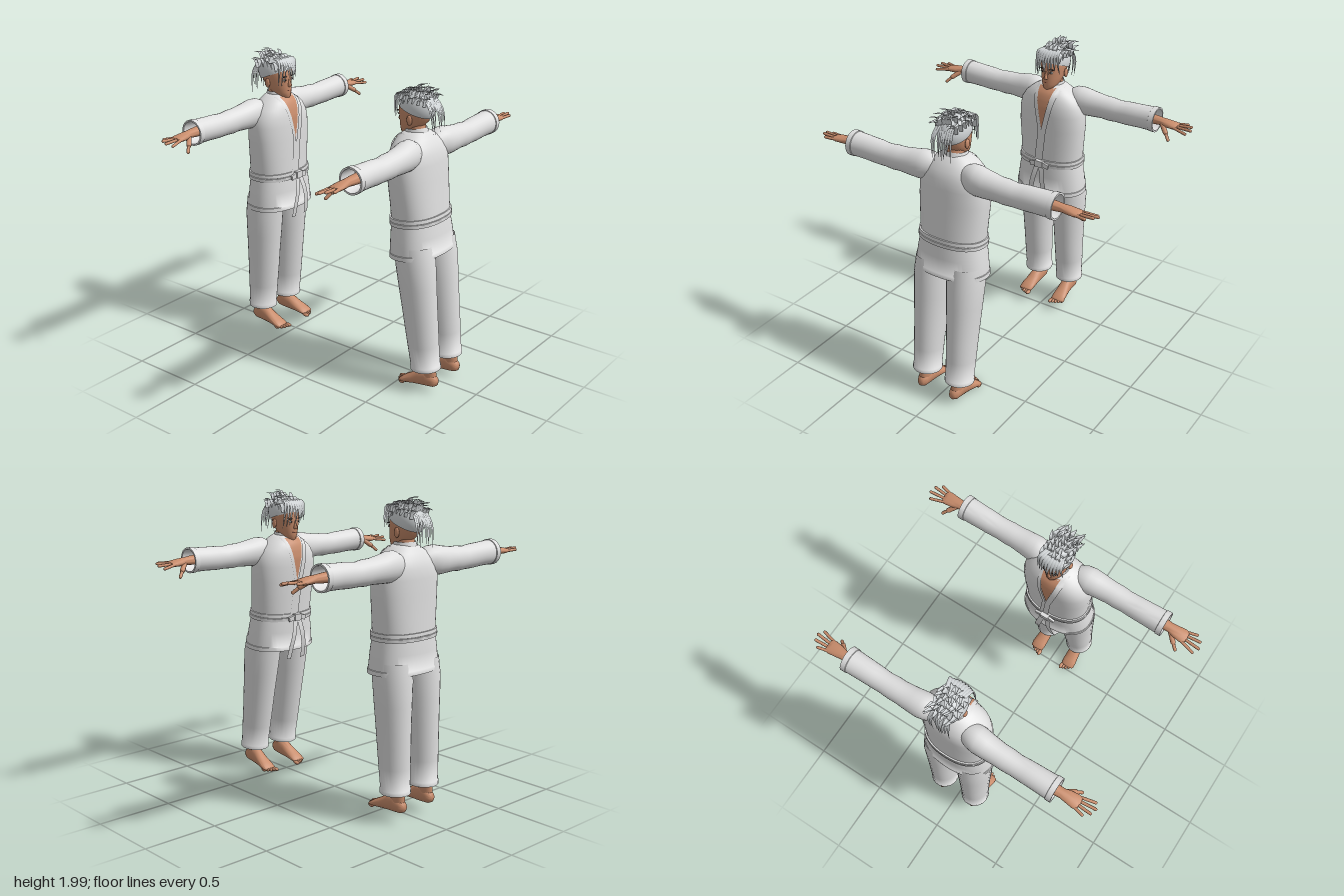
import * as THREE from 'three';
import { toCreasedNormals } from 'three/addons/utils/BufferGeometryUtils.js';

const mat = (name, color, side = THREE.FrontSide) => {
  const m = new THREE.MeshStandardMaterial({ color, side });
  m.name = name;
  return m;
};
const cloth = mat('white cloth', 0xdfdfdf, THREE.DoubleSide);
const hairMat = mat('silver hair', 0xd0d4d6, THREE.DoubleSide);
const skin = mat('skin', 0xc98d6c, THREE.DoubleSide);
const dark = mat('dark brown', 0x2c2420);
const eyeWhite = mat('eye white', 0xeeeeea);
const lip = mat('lips', 0xa8644e);

const V = (x, y, z) => new THREE.Vector3(x, y, z);
const spow = (v, p) => Math.sign(v) * Math.pow(Math.abs(v), 2 / p);

// Rings along an axis; each row is [position, centre a, centre b, radius a, radius b]
function loft(axis, rows, n = 28, p = 2) {
  const pos = [], idx = [];
  rows.forEach(([t, a, b, ra, rb], i) => {
    for (let j = 0; j < n; j++) {
      const q = (j / n) * Math.PI * 2;
      const c = spow(Math.cos(q), p), s = spow(Math.sin(q), p);
      if (axis === 'x') pos.push(t, a + ra * c, b + rb * s);
      if (axis === 'y') pos.push(a + ra * s, t, b + rb * c);
      if (axis === 'z') pos.push(a + ra * c, b + rb * s, t);
      if (i === rows.length - 1) continue;
      const k = i * n + j, l = i * n + ((j + 1) % n);
      idx.push(k, l, k + n, l, l + n, k + n);
    }
  });
  const g = new THREE.BufferGeometry();
  g.setAttribute('position', new THREE.Float32BufferAttribute(pos, 3));
  g.setIndex(idx);
  return toCreasedNormals(g, 1.0);
}

// Open sheet from rows of points
function sheet(rows) {
  const w = rows[0].length, idx = [];
  for (let i = 0; i < rows.length - 1; i++)
    for (let j = 0; j < w - 1; j++) {
      const a = i * w + j;
      idx.push(a, a + w, a + 1, a + 1, a + w, a + w + 1);
    }
  const g = new THREE.BufferGeometry().setFromPoints(rows.flat());
  g.setIndex(idx);
  g.computeVertexNormals();
  return g;
}

// Ribbon along a curve, with a raised ridge
function ribbon(pts, side, width, lift, steps = 7) {
  const curve = new THREE.CatmullRomCurve3(pts), rows = [];
  for (let i = 0; i <= steps; i++) {
    const t = i / steps, c = curve.getPoint(t);
    const s = side.clone().multiplyScalar(width(t) / 2);
    const up = side.clone().cross(curve.getTangent(t)).normalize().multiplyScalar(-lift * width(t));
    rows.push([c.clone().sub(s), c.clone().add(up), c.clone().add(s)]);
  }
  return sheet(rows);
}

function limb(a, b, r) {
  const d = b.clone().sub(a);
  const g = new THREE.CapsuleGeometry(r, d.length(), 4, 10);
  g.applyQuaternion(new THREE.Quaternion().setFromUnitVectors(V(0, 1, 0), d.clone().normalize()));
  return g.translate((a.x + b.x) / 2, (a.y + b.y) / 2, (a.z + b.z) / 2);
}
const ball = (x, y, z, a, b, c) => new THREE.SphereGeometry(1, 20, 14).scale(a, b, c).translate(x, y, z);

function mirrored(geo) {
  const g = geo.index ? geo.toNonIndexed() : geo.clone();
  g.scale(-1, 1, 1);
  for (const at of Object.values(g.attributes))
    for (let i = 0; i < at.count; i += 3)
      for (let k = 0; k < at.itemSize; k++) {
        const u = (i + 1) * at.itemSize + k, v = (i + 2) * at.itemSize + k;
        [at.array[u], at.array[v]] = [at.array[v], at.array[u]];
      }
  return g;
}

const JACKET = [
  [1.17, 0, .03, .215, .15], [1.3, 0, .031, .224, .148], [1.42, 0, .033, .233, .147], [1.52, 0, .032, .233, .146],
  [1.58, 0, .032, .222, .142], [1.63, 0, .034, .19, .128], [1.67, 0, .038, .145, .108], [1.70, 0, .037, .1, .082],
  [1.715, 0, .034, .07, .064], [1.715, 0, .034, 0, 0]];

// Front surface of the jacket at a given x and y
function chestZ(x, y) {
  let i = 0;
  while (i < 7 && JACKET[i + 1][0] < y) i++;
  const a = JACKET[i], b = JACKET[i + 1], f = (y - a[0]) / (b[0] - a[0]);
  const [, , cz, rx, rz] = a.map((v, k) => v + (b[k] - v) * f);
  const u = Math.min(1, Math.abs(x) / rx);
  return cz + rz * Math.pow(1 - Math.pow(u, 2.3), 1 / 2.3);
}
function patch(y0, y1, left, right, off) {
  const rows = [];
  for (let i = 0; i <= 20; i++) {
    const y = y1 + (y0 - y1) * i / 20, row = [];
    for (let j = 0; j <= 4; j++) {
      const x = left(y) + (right(y) - left(y)) * j / 4;
      row.push(V(x, y, chestZ(x, y) + off));
    }
    rows.push(row);
  }
  return sheet(rows);
}

function createFighter(name) {
  const g = new THREE.Group();
  g.name = name;
  const add = (n, geo, m) => {
    const mesh = new THREE.Mesh(geo, m);
    mesh.name = n;
    g.add(mesh);
  };
  const pair = (n, geo, m) => { add(n + 'Left', geo, m); add(n + 'Right', mirrored(geo), m); };

  // Jacket, skirt and lapels
  add('jacket', loft('y', JACKET, 48, 2.3), cloth);
  add('jacketSkirt', loft('y', [[.99, 0, .03, .22, .145], [.945, 0, .03, .24, .158], [.945, 0, .03, .25, .167],
    [.972, 0, .03, .248, .166], [.974, 0, .03, .243, .163], [1.07, 0, .03, .232, .158], [1.17, 0, .03, .215, .15]], 48, 2.3), cloth);
  const open = y => Math.max(0, (y - 1.42) / .28) * .06;
  add('bareChest', patch(1.42, 1.705, y => -open(y), open, .004), skin);
  const fold = y => .012 - Math.max(0, 1.42 - y) * .1;
  add('lapelUnder', patch(1.2, 1.705, y => -open(y) - .036 + fold(y), y => -open(y), .009), cloth);
  add('lapelOver', patch(1.2, 1.705, y => open(y) - .012 + fold(y), y => open(y) + .026 + fold(y), .013), cloth);
  add('collar', new THREE.CylinderGeometry(.066, .078, .045, 28, 1, true, .75, Math.PI * 2 - 1.5)
    .translate(0, 1.71, .032), cloth);

  // Belt with knot and hanging ends
  add('belt', loft('y', [[1.15, 0, .03, .212, .148], [1.15, 0, .03, .228, .16], [1.173, 0, .03, .229, .161],
    [1.175, 0, .03, .224, .157], [1.177, 0, .03, .228, .16], [1.2, 0, .03, .226, .159], [1.2, 0, .03, .21, .145]], 48, 2.3), cloth);
  add('beltKnot', new THREE.BoxGeometry(.055, .045, .03).translate(0, 1.177, .203), cloth);
  pair('knotLoop', new THREE.BoxGeometry(.05, .032, .014).rotateZ(-.25).translate(.045, 1.172, .203), cloth);
  pair('beltEnd', ribbon([V(.015, 1.165, .205), V(.035, 1.07, .226), V(.052, .98, .222), V(.06, .89, .207)],
    V(1, .15, 0), () => .036, 0), cloth);

  // Sleeves with folded cuffs
  pair('sleeve', loft('x', [[.1, 1.6, -.015, .07, .06], [.15, 1.605, -.018, .09, .08], [.2, 1.603, -.022, .094, .084],
    [.26, 1.598, -.025, .087, .079], [.35, 1.594, -.027, .077, .072], [.4, 1.592, -.027, .079, .073], [.46, 1.59, -.027, .073, .069],
    [.53, 1.593, -.026, .077, .072], [.61, 1.597, -.026, .076, .074], [.7, 1.6, -.026, .078, .077], [.702, 1.6, -.026, .082, .081],
    [.737, 1.6, -.026, .082, .081], [.737, 1.6, -.026, .071, .07], [.62, 1.6, -.026, .064, .064]]), cloth);

  // Trousers
  pair('trouserLeg', loft('y', [[.27, .126, -.035, .08, .083], [.195, .126, -.037, .086, .088], [.195, .126, -.037, .095, .098],
    [.222, .126, -.037, .095, .098], [.225, .126, -.036, .091, .095], [.36, .126, -.028, .095, .103], [.5, .125, -.02, .099, .111],
    [.62, .125, -.014, .104, .116], [.75, .124, -.007, .111, .123], [.9, .123, 0, .12, .129], [1.02, .118, .01, .115, .127]]), cloth);

  // Bare feet with toes
  pair('ankle', loft('y', [[.11, .125, -.06, .036, .048], [.16, .125, -.058, .037, .052], [.27, .125, -.052, .042, .058]]), skin);
  pair('foot', loft('z', [[-.12, .125, .112, 0, 0], [-.115, .125, .112, .024, .028], [-.09, .125, .118, .037, .046],
    [-.04, .125, .13, .041, .062], [.01, .127, .121, .042, .054], [.06, .13, .105, .046, .038], [.11, .133, .091, .05, .026],
    [.145, .133, .081, .046, .016], [.16, .133, .077, 0, 0]]), skin);
  for (let i = 0; i < 5; i++)
    pair('toe' + (i + 1), ball(.096 + i * .019, .075, .164 - i * i * .0024, i ? .0095 : .014, .012, i ? .022 : .027), skin);

  // Hands
  pair('palm', loft('x', [[.62, 1.6, -.025, .036, .038], [.72, 1.6, -.025, .029, .035], [.77, 1.6, -.023, .024, .032],
    [.81, 1.597, -.02, .024, .04], [.86, 1.594, -.02, .019, .046], [.885, 1.594, -.02, .013, .04], [.89, 1.594, -.02, 0, 0]], 20), skin);
  const tips = [[.958, 1.583, .038], [.978, 1.596, .002], [.966, 1.602, -.037], [.93, 1.597, -.068]];
  tips.forEach(([x, y, z], i) =>
    pair('finger' + (i + 1), limb(V(.865, 1.594, .014 - i * .022), V(x, y, z), .0095), skin));
  pair('thumbBase', limb(V(.785, 1.588, 0), V(.825, 1.556, .035), .016), skin);
  pair('thumb', limb(V(.825, 1.556, .035), V(.857, 1.524, .06), .0105), skin);

  // Neck, head and face
  add('neck', loft('y', [[1.64, 0, .015, .06, .06], [1.7, 0, .022, .054, .054], [1.79, 0, .03, .052, .054]]), skin);
  add('head', loft('y', [[1.684, 0, .1, 0, 0], [1.686, 0, .1, .02, .026], [1.70, 0, .084, .039, .052], [1.73, 0, .066, .058, .073],
    [1.77, 0, .043, .07, .097], [1.82, 0, .03, .079, .11], [1.87, 0, .025, .082, .114], [1.91, 0, .02, .073, .1],
    [1.94, 0, .015, .045, .06], [1.95, 0, .015, 0, 0]], 32), skin);
  add('nose', loft('y', [[1.768, 0, .138, 0, 0], [1.77, 0, .14, .015, .014], [1.78, 0, .14, .013, .019],
    [1.805, 0, .136, .008, .012], [1.83, 0, .134, .005, .005]], 12), skin);
  add('mouth', ball(0, 1.743, .132, .022, .006, .008), lip);
  pair('eye', ball(.031, 1.815, .128, .015, .007, .008), eyeWhite);
  pair('iris', ball(.031, 1.815, .133, .006, .0065, .005), dark);
  pair('brow', ball(.032, 1.836, .13, .021, .004, .008), dark);
  pair('ear', ball(.082, 1.79, .022, .011, .031, .019), skin);

  // Hair: close cap, lifted top, fringe and trailing back strands
  add('hairCap', new THREE.SphereGeometry(1, 32, 16, 0, Math.PI * 2, 0, Math.PI * .56).rotateX(-.42)
    .scale(.09, .108, .122).translate(0, 1.855, .017), hairMat);
  let seed = 7;
  const rnd = (a, b) => a + (b - a) * ((seed = (seed * 16807) % 2147483647) / 2147483647);
  const taper = w => t => w * (1 - Math.pow(t, 2.5)) + .001;
  const side = V(1, 0, 0);
  for (let r = 0; r < 6; r++)
    for (let c = -3; c <= 3; c++) {
      const x = c * .023 + rnd(-.008, .008), z = .1 - r * .035, drop = c * c * .005 + Math.pow(r - 2.5, 2) * .003;
      const root = V(x * .95, 1.94 - drop, z), y = 1.978 - drop + rnd(-.012, .018);
      add('topLock', ribbon([root, V(x * 1.05, y, z - .015), V(x * 1.2 + rnd(-.02, .03), y + rnd(-.015, .012), z - .065)],
        side, taper(rnd(.026, .038)), .25), hairMat);
    }
  for (let c = -4; c <= 4; c++) {
    const x = c * .018, end = rnd(1.79, 1.85) - (Math.abs(c) > 2 ? .02 : 0);
    add('fringeLock', ribbon([V(x * .8, 1.95, .06), V(x, 1.945, .115), V(x * 1.1, 1.89, .149 - c * c * .0015),
      V(x * 1.15 + rnd(-.012, .012), end, .151 - c * c * .002)], side, taper(.024), .2), hairMat);
  }
  for (let c = -4; c <= 4; c++) {
    const x = c * .014, out = rnd(-.015, .006);
    add('backLock', ribbon([V(x * .8, 1.94, -.045), V(x, 1.895, -.095), V(x * 1.2, 1.83, -.118 + out),
      V(x * 1.2 + rnd(-.012, .012), rnd(1.7, 1.75), -.122 + out)], side, taper(.021), .2), hairMat);
  }
  return g;
}

export function createModel() {
  const model = new THREE.Group();
  model.name = 'facingFighters';
  const upright = createFighter('uprightFighter');
  upright.position.z = -.65;
  // The second fighter faces the first and leans forward
  const leaning = createFighter('leaningFighter');
  leaning.rotation.set(.085, Math.PI, 0, 'YXZ');
  leaning.position.set(0, -.041, .675);
  model.add(upright, leaning);
  return model;
}
